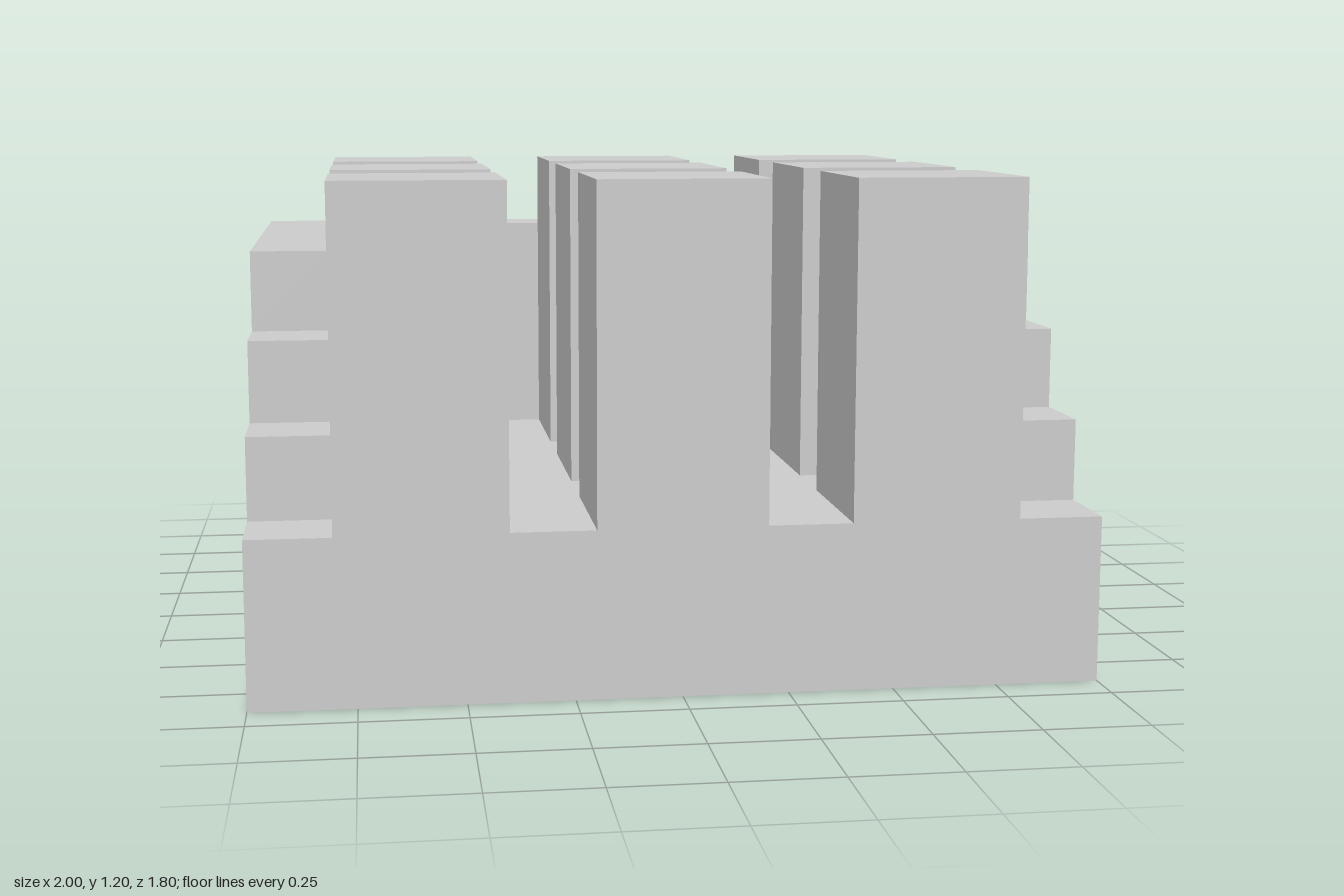
import * as THREE from 'three';

const FLOOR = 0.4, WALL_TOP = 1.0, PILLAR_TOP = 1.2;

export function createModel() {
  const model = new THREE.Group();
  model.name = 'pillaredBlock';
  const material = new THREE.MeshStandardMaterial({ color: 0xcccccc, flatShading: true });

  function add(name, geometry, parent = model) {
    const mesh = new THREE.Mesh(geometry, material);
    mesh.name = name;
    parent.add(mesh);
    return mesh;
  }

  // Box given by its minimum and maximum corners
  function box(name, [x0, y0, z0], [x1, y1, z1], parent) {
    const mesh = add(name, new THREE.BoxGeometry(x1 - x0, y1 - y0, z1 - z0), parent);
    mesh.position.set((x0 + x1) / 2, (y0 + y1) / 2, (z0 + z1) / 2);
    return mesh;
  }

  // Solid base, whose top is the floor of the channels
  box('base', [-1, 0, -0.9], [1, FLOOR, 0.9]);

  // Back wall between the side walls
  box('backWall', [-0.8, FLOOR, -0.9], [0.8, WALL_TOP, -0.7]);

  // Side walls, stepping down to the floor towards the front (profile in z, y)
  const profile = new THREE.Shape([
    [-0.9, FLOOR], [0.7, FLOOR], [0.7, 0.6], [0.5, 0.6],
    [0.5, 0.8], [0.3, 0.8], [0.3, WALL_TOP], [-0.9, WALL_TOP],
  ].map(([z, y]) => new THREE.Vector2(-z, y)));
  const wall = new THREE.ExtrudeGeometry(profile, { depth: 0.2, bevelEnabled: false });
  wall.rotateY(Math.PI / 2); // profile -z becomes world z, depth runs along +x
  add('leftSteppedWall', wall).position.x = 0.8;
  add('rightSteppedWall', wall).position.x = -1;

  // Three rows of three square pillars
  const pillars = new THREE.Group();
  pillars.name = 'pillars';
  model.add(pillars);
  for (const x of [-0.6, 0, 0.6]) {
    for (const z of [-0.5, 0.1, 0.7]) {
      box('pillar', [x - 0.2, FLOOR, z - 0.2], [x + 0.2, PILLAR_TOP, z + 0.2], pillars);
    }
  }
  return model;
}
